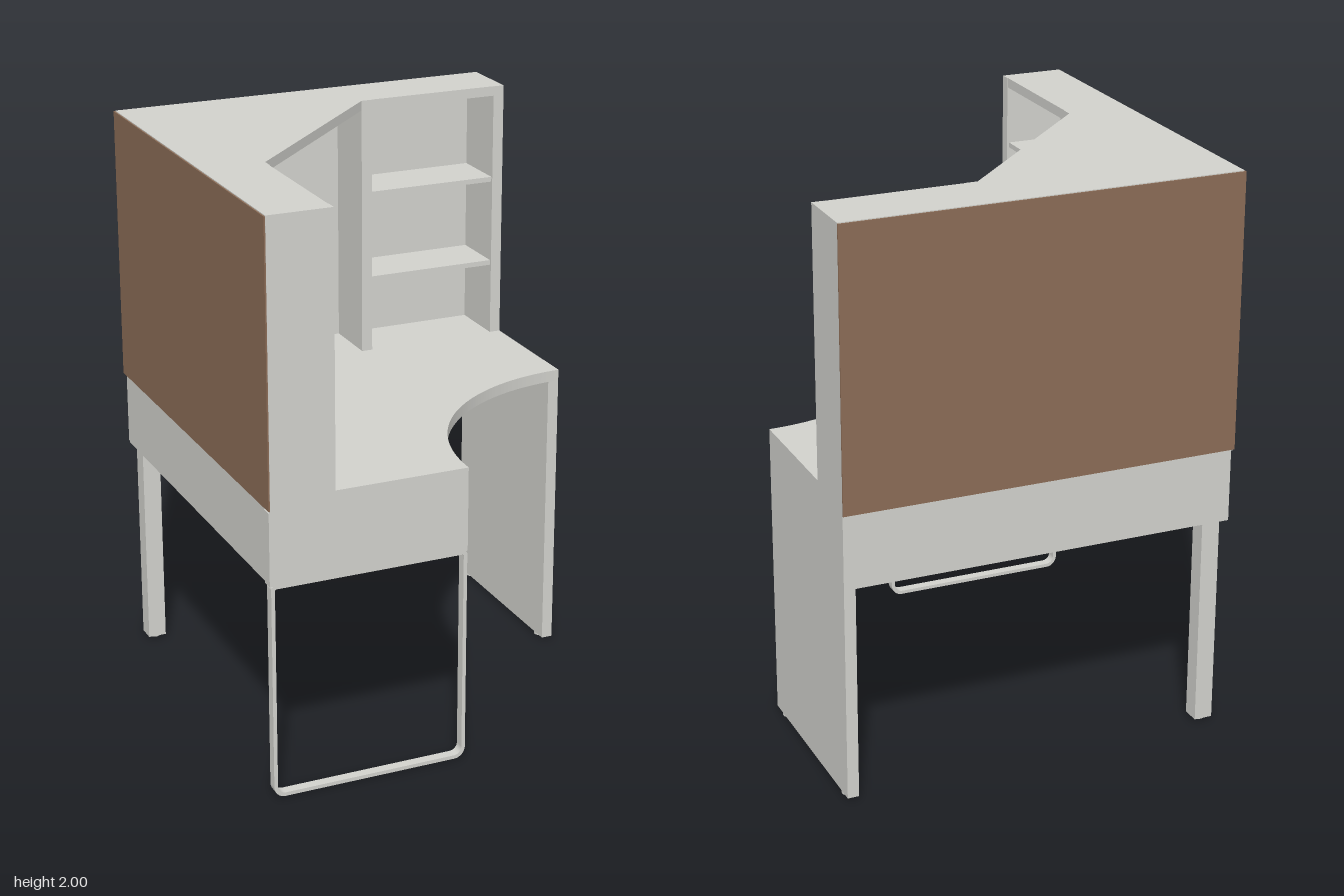
import * as THREE from 'three';

const laminate = new THREE.MeshStandardMaterial({ color: 0xd2d2cd });
laminate.name = 'grey laminate';
const hardboard = new THREE.MeshStandardMaterial({ color: 0x8b6c56 });
hardboard.name = 'brown hardboard';

export function createModel() {
  const model = new THREE.Group();
  model.name = 'cornerDesk';

  const add = (name, geometry, material = laminate, parent = model) => {
    const mesh = new THREE.Mesh(geometry, material);
    mesh.name = name;
    parent.add(mesh);
    return mesh;
  };
  // Board given by its min and max on each axis
  const board = (name, x0, x1, y0, y1, z0, z1, material, parent) => {
    const g = new THREE.BoxGeometry(x1 - x0, y1 - y0, z1 - z0);
    g.translate((x0 + x1) / 2, (y0 + y1) / 2, (z0 + z1) / 2);
    return add(name, g, material, parent);
  };
  // Horizontal slab from a plan drawn in (x, -z)
  const slab = (name, shape, y0, y1, parent) => {
    const g = new THREE.ExtrudeGeometry(shape, { depth: y1 - y0, bevelEnabled: false, curveSegments: 32 });
    g.rotateX(-Math.PI / 2).translate(0, y0, 0);
    return add(name, g, laminate, parent);
  };
  const roundedRect = (path, x0, x1, y0, y1, r, rTop) => {
    path.moveTo(x0 + r, y0);
    path.lineTo(x1 - r, y0);
    path.absarc(x1 - r, y0 + r, r, -Math.PI / 2, 0, false);
    path.lineTo(x1, y1 - rTop);
    path.absarc(x1 - rTop, y1 - rTop, rTop, 0, Math.PI / 2, false);
    path.lineTo(x0 + rTop, y1);
    path.absarc(x0 + rTop, y1 - rTop, rTop, Math.PI / 2, Math.PI, false);
    path.lineTo(x0, y0 + r);
    path.absarc(x0 + r, y0 + r, r, Math.PI, Math.PI * 1.5, false);
    return path;
  };

  // Worktop with a concave quarter-circle front
  const top = new THREE.Shape();
  top.moveTo(-0.695, 0.695);
  top.lineTo(-0.695, -0.7);
  top.lineTo(0, -0.7);
  top.absarc(0.7, -0.7, 0.7, Math.PI, Math.PI / 2, true);
  top.lineTo(0.7, 0.695);
  slab('worktop', top, 1.025, 1.065);

  // Cable cap in the worktop
  const cap = add('cableCap', new THREE.CylinderGeometry(0.055, 0.06, 0.01, 32));
  cap.position.set(-0.55, 1.069, -0.555);

  // Aprons under the worktop
  board('backApron', -0.69, 0.66, 0.77, 1.025, -0.695, -0.67);
  board('sideApron', -0.695, -0.67, 0.77, 1.025, -0.67, 0.66);
  board('frontApron', -0.7, 0, 0.77, 1.025, 0.66, 0.7);
  board('cableRail', -0.61, 0.66, 0.77, 0.845, -0.66, -0.64);

  // Supports
  board('sidePanelLeg', 0.66, 0.7, 0.01, 1.025, -0.695, 0);
  board('cornerLeg', -0.67, -0.605, 0.01, 1.025, -0.67, -0.605);
  board('cornerPost', -0.685, -0.615, 1.065, 1.965, -0.685, -0.615);
  for (const [x, z] of [[0.68, -0.06], [0.68, -0.64], [-0.6375, -0.6375]]) {
    const foot = add('footPad', new THREE.CylinderGeometry(0.02, 0.02, 0.012, 16));
    foot.position.set(x, 0.006, z);
  }

  // Metal loop leg
  const loop = roundedRect(new THREE.Shape(), -0.695, 0, 0.006, 0.77, 0.04, 0.012);
  loop.holes.push(roundedRect(new THREE.Path(), -0.682, -0.013, 0.019, 0.758, 0.028, 0.006));
  const loopGeometry = new THREE.ExtrudeGeometry(loop, { depth: 0.035, bevelEnabled: false, curveSegments: 8 });
  add('loopLeg', loopGeometry.translate(0, 0, 0.663));

  // Screw heads on the inner faces of the aprons
  for (const [a, y] of [[0.61, 0.975], [0.61, 0.885], [0.61, 0.805], [0.11, 0.97]]) {
    const s1 = add('screwHead', new THREE.CylinderGeometry(0.009, 0.009, 0.006, 12));
    s1.rotation.x = Math.PI / 2;
    s1.position.set(a, y, y < 0.85 ? -0.638 : -0.668);
    const s2 = add('screwHead', new THREE.CylinderGeometry(0.009, 0.009, 0.006, 12));
    s2.rotation.z = Math.PI / 2;
    s2.position.set(-0.668, y, a);
  }

  // Upper unit
  const hutch = new THREE.Group();
  hutch.name = 'hutch';
  model.add(hutch);
  const B = 1.065, T = 2, U = 1.965;

  // Back walls: grey inside, brown outside
  board('backWall', -0.692, 0.695, B, 1.998, -0.694, -0.685, laminate, hutch);
  board('sideWall', -0.694, -0.685, B, 1.998, -0.685, 0.695, laminate, hutch);
  board('backSheet', -0.7, 0.7, 1.03, 1.997, -0.7, -0.695, hardboard, hutch);
  board('sideSheet', -0.7, -0.695, 1.03, 1.997, -0.695, 0.699, hardboard, hutch);

  // Diagonal roof over the corner
  const roof = new THREE.Shape([
    [-0.695, 0.695], [-0.695, -0.14], [-0.47, -0.14], [0.14, 0.47], [0.14, 0.695],
  ].map(([x, y]) => new THREE.Vector2(x, y)));
  slab('cornerRoof', roof, U, T, hutch);

  // Open tower along the back wall
  const backTower = new THREE.Group();
  backTower.name = 'backTower';
  hutch.add(backTower);
  board('innerSide', 0.14, 0.18, B, T, -0.695, -0.47, laminate, backTower);
  board('outerSide', 0.66, 0.7, B, T, -0.695, -0.47, laminate, backTower);
  board('towerTop', 0.18, 0.66, U, T, -0.695, -0.472, laminate, backTower);
  for (const y of [1.325, 1.643]) {
    board('shelf', 0.18, 0.66, y, y + 0.018, -0.685, -0.478, laminate, backTower);
  }

  // Tower with a door along the side wall
  const sideTower = new THREE.Group();
  sideTower.name = 'sideTower';
  hutch.add(sideTower);
  board('innerSide', -0.695, -0.47, B, T, 0.14, 0.18, laminate, sideTower);
  board('outerSide', -0.695, -0.47, B, T, 0.66, 0.7, laminate, sideTower);
  board('towerTop', -0.695, -0.472, U, T, 0.18, 0.66, laminate, sideTower);
  for (const y of [B, 1.507, 1.74]) {
    board('shelf', -0.685, -0.478, y, y + 0.018, 0.18, 0.66, laminate, sideTower);
  }
  board('door', -0.495, -0.478, 1.088, 1.485, 0.184, 0.656, laminate, sideTower);

  return model;
}
